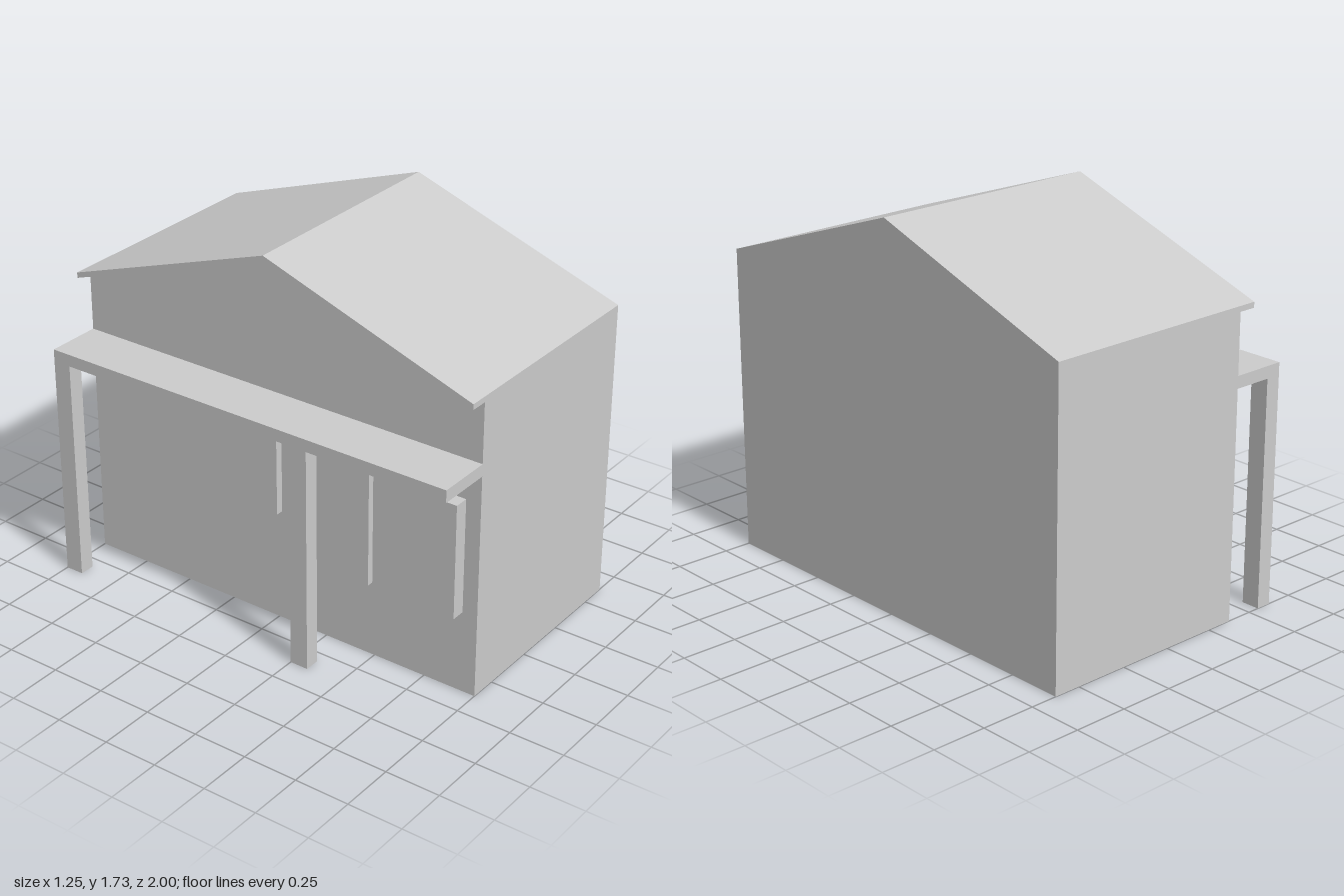
import * as THREE from 'three';

const material = new THREE.MeshStandardMaterial({ color: 0xcccccc, flatShading: true });

const WALL = -0.375; // x of the porch-side wall
const EAVE = 1.38;
const RIDGE = 1.725;

export function createModel() {
  const model = new THREE.Group();

  const add = (name, geometry) => {
    const mesh = new THREE.Mesh(geometry, material);
    mesh.name = name;
    model.add(mesh);
  };

  // Box given by its limits on each axis
  const box = (name, [x0, x1], [y0, y1], [z0, z1]) => {
    const g = new THREE.BoxGeometry(x1 - x0, y1 - y0, z1 - z0);
    g.translate((x0 + x1) / 2, (y0 + y1) / 2, (z0 + z1) / 2);
    add(name, g);
  };

  // Outline in (z, y), extruded along x
  const prism = (name, points, x0, x1) => {
    const shape = new THREE.Shape(points.map(([z, y]) => new THREE.Vector2(z, y)));
    const g = new THREE.ExtrudeGeometry(shape, { depth: x1 - x0, bevelEnabled: false });
    g.rotateY(-Math.PI / 2);
    g.translate(x1, 0, 0);
    add(name, g);
  };

  // Gabled house body and the thin roof overhang above the porch
  prism('house', [[-1, 0], [1, 0], [1, EAVE], [0, RIDGE], [-1, EAVE]], WALL, 0.625);
  const t = 0.025;
  prism('roofOverhang', [[-1, EAVE - t], [0, RIDGE - t], [1, EAVE - t],
    [1, EAVE], [0, RIDGE], [-1, EAVE]], -0.455, WALL);

  // Porch roof and its two posts
  box('porchRoof', [-0.625, WALL], [1.03, 1.085], [-1, 1]);
  for (const z of [-1, 0.25]) box('porchPost', [-0.625, -0.555], [0, 1.03], [z, z + 0.085]);

  // Wide window panel
  box('wideWindow', [WALL - 0.035, WALL], [0.53, 0.9], [-0.9, 0.02]);

  // Tall window panel between two deeper shutters
  const tall = [0.38, 0.905];
  box('tallWindow', [WALL - 0.035, WALL], tall, [0.51, 0.85]);
  for (const z of [0.43, 0.85]) box('shutter', [-0.44, WALL], tall, [z, z + 0.08]);

  return model;
}
